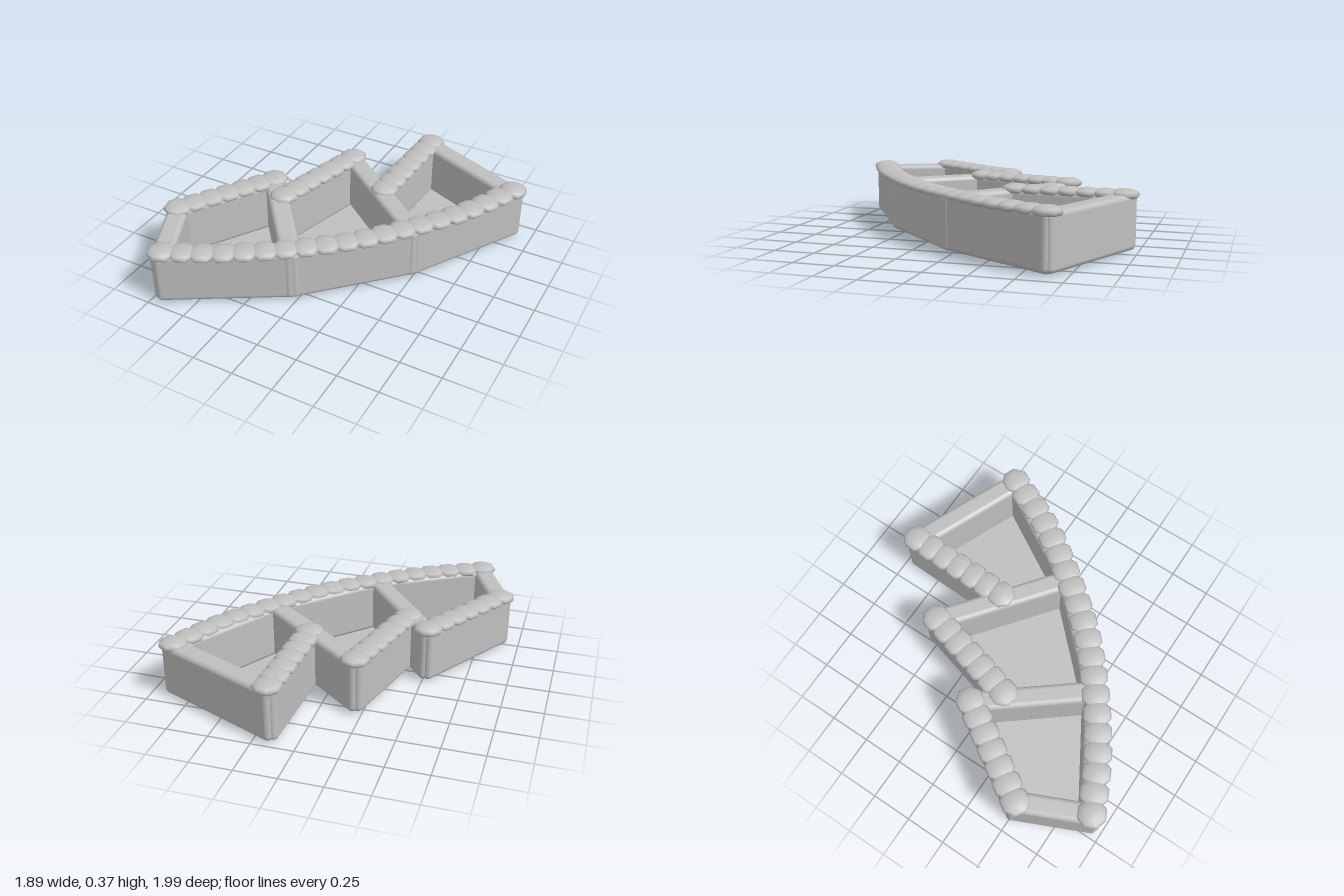
import * as THREE from 'three';
import { RoundedBoxGeometry } from 'three/addons/geometries/RoundedBoxGeometry.js';

const stone = new THREE.MeshStandardMaterial({ color: 0xbfbfbf });
stone.name = 'pale grey';

// Plan joints as [x, z]
const P = {
  a: [-0.68, 0.905], b: [-0.055, 0.535], c: [0.465, 0.015], d: [0.85, -0.63],
  e: [-0.86, 0.505], f: [-0.515, -0.04], g: [-0.365, 0.09], h: [-0.2, -0.505],
  i: [0.145, -0.27], j: [0.17, -0.915],
};
const WALL_TOP = 0.335, WALL_BASE = 0.012, THICK = 0.125;

// Rounded wall running between two joints
function wall(name, [x1, z1], [x2, z2], extra = 0.05) {
  const length = Math.hypot(x2 - x1, z2 - z1) + extra * 2;
  const height = WALL_TOP - WALL_BASE;
  const mesh = new THREE.Mesh(new RoundedBoxGeometry(length, height, THICK, 3, 0.03), stone);
  mesh.position.set((x1 + x2) / 2, WALL_BASE + height / 2, (z1 + z2) / 2);
  mesh.rotation.y = -Math.atan2(z2 - z1, x2 - x1);
  mesh.name = name;
  return mesh;
}

// Row of flattened coping stones along a curve
function coping(name, points, count) {
  const row = new THREE.Group();
  row.name = name;
  const curve = new THREE.CatmullRomCurve3(points.map(([x, z]) => new THREE.Vector3(x, 0.331, z)));
  const geometry = new THREE.SphereGeometry(0.09, 8, 6);
  for (let k = 0; k < count; k++) {
    const t = k / (count - 1);
    const isEnd = k === 0 || k === count - 1;
    const bead = new THREE.Mesh(geometry, stone);
    bead.position.copy(curve.getPointAt(t));
    const dir = curve.getTangentAt(t);
    bead.rotation.y = -Math.atan2(dir.z, dir.x) + Math.PI / 8;
    bead.scale.y = isEnd ? 0.38 : 0.34;
    bead.name = 'copingStone';
    row.add(bead);
  }
  return row;
}

// Thin floor slab from plan corners
function floor(name, corners) {
  const shape = new THREE.Shape(corners.map(([x, z]) => new THREE.Vector2(x, -z)));
  const geometry = new THREE.ExtrudeGeometry(shape, { depth: 0.018, bevelEnabled: false });
  geometry.rotateX(-Math.PI / 2);
  const mesh = new THREE.Mesh(geometry, stone);
  mesh.name = name;
  return mesh;
}

export function createModel() {
  const model = new THREE.Group();
  model.name = 'steppedPlanter';
  const { a, b, c, d, e, f, g, h, i, j } = P;

  // Curved front made of three straight walls
  model.add(wall('frontWallLow', a, b), wall('frontWallMiddle', b, c), wall('frontWallHigh', c, d));

  // Staggered back walls
  model.add(wall('backWallLow', e, f), wall('backWallMiddle', g, h), wall('backWallHigh', i, j));

  // End walls and dividers
  model.add(wall('endWallLow', a, e), wall('dividerLow', b, f),
    wall('dividerHigh', c, h), wall('endWallHigh', d, j));

  // Compartment floors
  model.add(floor('floorLow', [a, b, f, e]), floor('floorMiddle', [b, c, h, g]),
    floor('floorHigh', [c, d, j, i]));

  // Stone rows on the front and back walls
  model.add(coping('frontCoping', [a, [-0.37, 0.75], b, [0.23, 0.29], c, [0.69, -0.3], d], 20));
  model.add(coping('backCopingLow', [e, f], 7), coping('backCopingMiddle', [g, h], 7),
    coping('backCopingHigh', [i, j], 7));
  return model;
}
